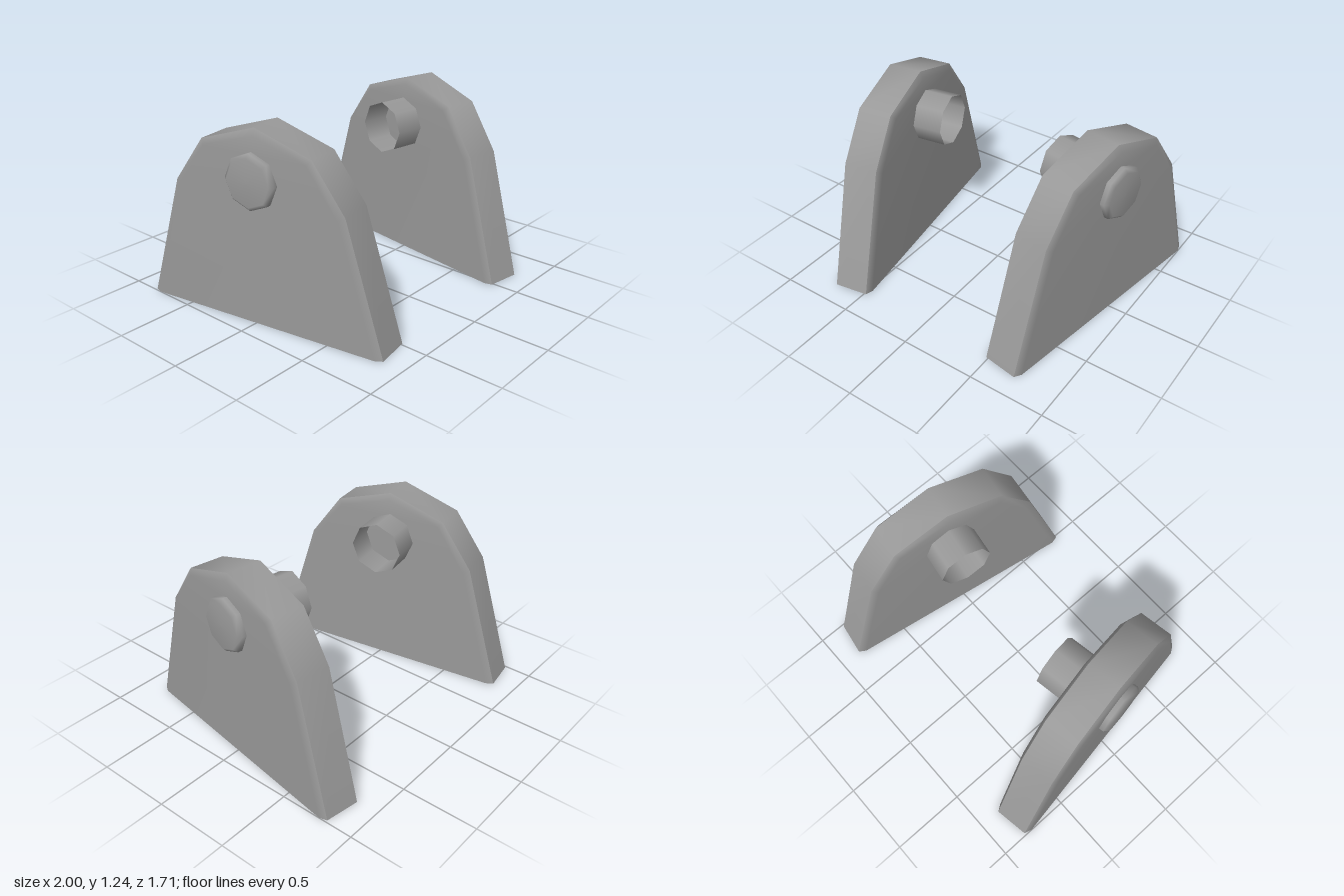
import * as THREE from 'three';

const TILT = THREE.MathUtils.degToRad(9.3);
const AXLE_Y = 0.925;

// Half outlines as [z, y] from the foot to the peak: outer rim and inset face
const RIM = [[0.848, 0], [0.6, 0.82], [0.387, 1.115], [0, 1.24]];
const FACE = [[0.8, 0], [0.56, 0.8], [0.36, 1.085], [0, 1.195]];

const fullOutline = half => [...half, ...half.slice(0, -1).reverse().map(([z, y]) => [-z, y])];

// Smooth strip between two outlines at x0 and x1; capped fills the first outline
function stripGeometry(half0, x0, half1, x1, capped) {
  const outline0 = fullOutline(half0), outline1 = fullOutline(half1);
  const n = outline0.length;
  const positions = [], indices = [];
  for (const [z, y] of outline0) positions.push(x0, y, z);
  for (const [z, y] of outline1) positions.push(x1, y, z);
  for (let i = 0; i < n - 1; i++) {
    indices.push(i, i + 1, n + i, i + 1, n + i + 1, n + i);
  }
  if (capped) {
    for (let i = 0, j = n - 1; i < j; i++, j--) {
      indices.push(i, j, j - 1);
      if (j - 1 > i + 1) indices.push(i, j - 1, i + 1);
    }
  }
  const geometry = new THREE.BufferGeometry();
  geometry.setAttribute('position', new THREE.Float32BufferAttribute(positions, 3));
  geometry.setIndex(indices);
  geometry.computeVertexNormals();
  return geometry;
}

// Octagonal bolt head with a bevelled edge
function boltGeometry() {
  const profile = [[0.175, 0.13], [0.175, 0.165], [0.15, 0.188], [0, 0.19]];
  return new THREE.LatheGeometry(profile.map(p => new THREE.Vector2(...p)), 8);
}

export function createModel() {
  const model = new THREE.Group();
  const material = new THREE.MeshStandardMaterial({ color: 0x999999, side: THREE.DoubleSide });
  const rim = stripGeometry(RIM, 0.114, RIM, -0.114, false);
  const face = stripGeometry(FACE, 0.136, RIM, 0.114, true);
  const bolt = boltGeometry();
  const socket = new THREE.CylinderGeometry(0.175, 0.175, 0.2, 8, 1, true);

  for (const side of [1, -1]) {
    const bracket = new THREE.Group();
    bracket.name = side > 0 ? 'leftBracket' : 'rightBracket';
    bracket.position.x = side * 0.736;
    bracket.rotation.y = -side * TILT;

    const add = (name, geometry, x, y, z) => {
      const mesh = new THREE.Mesh(geometry, material);
      mesh.name = name;
      mesh.position.set(x, y, z);
      bracket.add(mesh);
      return mesh;
    };
    // Hollow plate, open underneath, with a chamfered face on both sides
    add('plateRim', rim, 0, 0, 0);
    add('plateFace', face, 0, 0, 0);
    add('plateFace', face, 0, 0, 0).rotation.y = Math.PI;
    // Bolt head outside, open axle socket inside
    add('boltHead', bolt, 0, AXLE_Y, -0.01).rotation.z = -side * Math.PI / 2;
    add('axleSocket', socket, -side * 0.232, AXLE_Y, -0.015).rotation.z = -side * Math.PI / 2;
    model.add(bracket);
  }
  return model;
}
